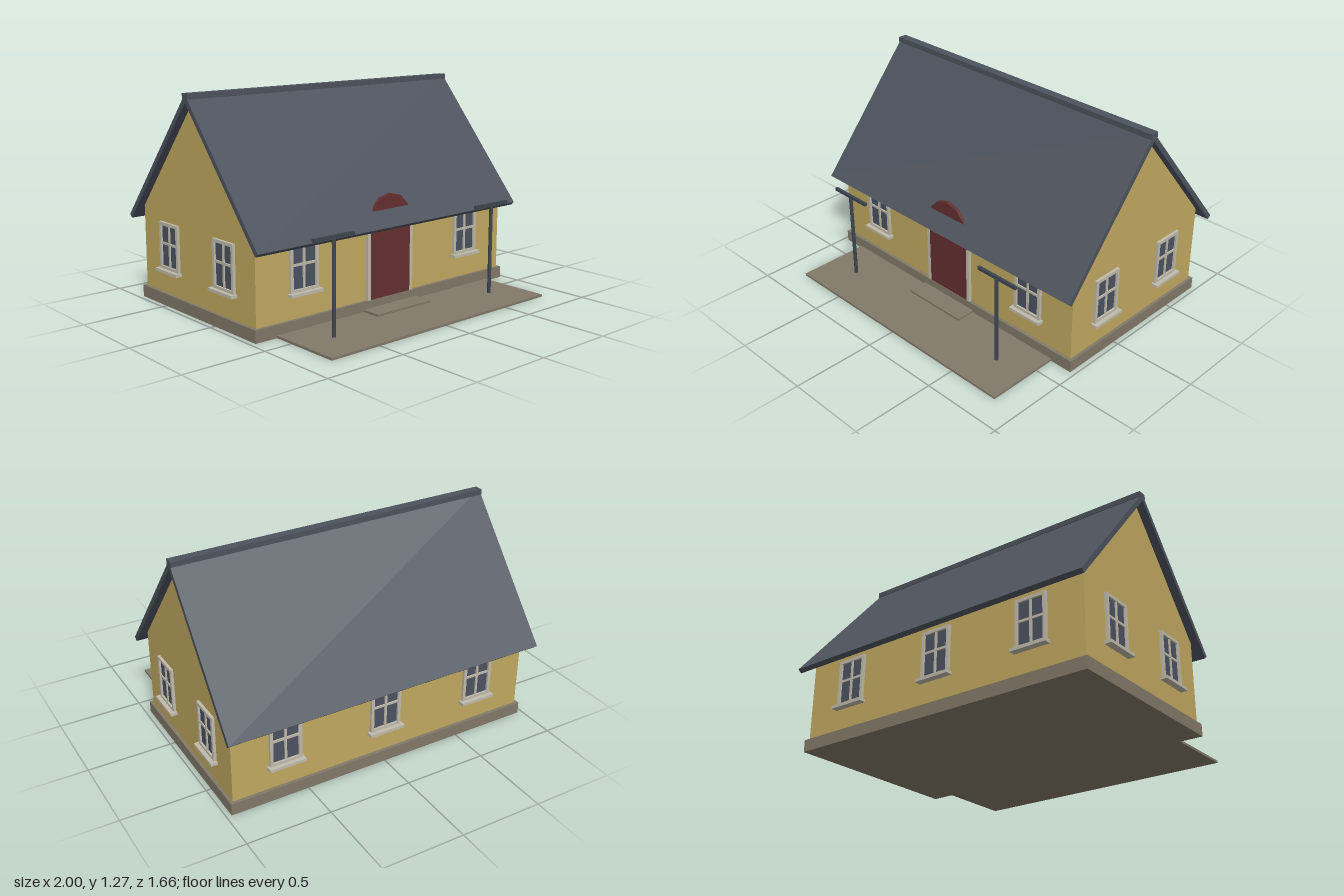
import * as THREE from 'three';

const mat = (name, color, extra) =>
  Object.assign(new THREE.MeshStandardMaterial({ color }), { name });

export function createModel() {
  const house = new THREE.Group();
  house.name = 'house';

  const plaster = mat('yellow plaster', 0xc2a961);
  const slate = mat('slate roof', 0x4d535d);
  const stone = mat('stone', 0x827969);
  const trim = mat('pale trim', 0xc0bbab);
  const glass = mat('window glass', 0x4c5261);
  const doorRed = mat('door red', 0x652f30);
  const metal = mat('dark metal', 0x3d464f);

  function add(parent, name, geometry, material) {
    const mesh = new THREE.Mesh(geometry, material);
    mesh.name = name;
    parent.add(mesh);
    return mesh;
  }

  // Box given by its limits on each axis
  function box(parent, name, material, [x0, x1], [y0, y1], [z0, z1]) {
    const mesh = add(parent, name, new THREE.BoxGeometry(x1 - x0, y1 - y0, z1 - z0), material);
    mesh.position.set((x0 + x1) / 2, (y0 + y1) / 2, (z0 + z1) / 2);
    return mesh;
  }

  // Extrude a [z, y] outline along x, centred on x = 0
  function alongX(name, outline, width, material) {
    const shape = new THREE.Shape(outline.map(([z, y]) => new THREE.Vector2(-z, y)));
    const geometry = new THREE.ExtrudeGeometry(shape, { depth: width, bevelEnabled: false });
    geometry.translate(0, 0, -width / 2).rotateY(Math.PI / 2);
    return add(house, name, geometry, material);
  }

  const ridgeZ = -0.19;

  // Base, terrace and step
  box(house, 'plinth', stone, [-0.97, 0.97], [0, 0.072], [-0.76, 0.38]);
  box(house, 'terrace', stone, [-0.83, 0.83], [0, 0.014], [0.38, 0.83]);
  box(house, 'doorStep', stone, [-0.21, 0.21], [0.014, 0.027], [0.38, 0.5]);

  // Walls with both gables
  alongX('walls', [
    [0.36, 0.072], [0.36, 0.562], [ridgeZ, 1.217], [-0.74, 0.562], [-0.74, 0.072],
  ], 1.904, plaster);

  // Roof slabs joined at the ridge, and the ridge cap
  alongX('roof', [
    [0.43, 0.481], [0.452, 0.5], [ridgeZ, 1.265], [-0.832, 0.5], [-0.81, 0.481], [ridgeZ, 1.22],
  ], 2, slate);
  box(house, 'ridgeCap', slate, [-1, 1], [1.238, 1.27], [ridgeZ - 0.027, ridgeZ + 0.027]);

  // Door with a round head that breaks through the roof
  const doorShape = new THREE.Shape();
  doorShape.moveTo(-0.155, 0.072);
  doorShape.lineTo(0.155, 0.072);
  for (let i = 0; i <= 6; i++) {
    const a = (i / 6) * Math.PI;
    doorShape.lineTo(0.155 * Math.cos(a), 0.522 + 0.155 * Math.sin(a));
  }
  const door = add(house, 'door',
    new THREE.ExtrudeGeometry(doorShape, { depth: 0.022, bevelEnabled: false }), doorRed);
  door.position.z = 0.355;
  for (const s of [-1, 1]) {
    const x = s * 0.166;
    box(house, 'doorJamb', trim, [x - 0.011, x + 0.011], [0.072, 0.54], [0.355, 0.379]);
  }

  // Window facing +z, origin on the wall at floor level
  function makeWindow(x, z, turn) {
    const w = new THREE.Group();
    w.name = 'window';
    const frame = new THREE.Shape([
      [-0.097, 0.22], [0.097, 0.22], [0.097, 0.499], [-0.097, 0.499],
    ].map((p) => new THREE.Vector2(...p)));
    frame.holes.push(new THREE.Path([
      [-0.078, 0.238], [-0.078, 0.48], [0.078, 0.48], [0.078, 0.238],
    ].map((p) => new THREE.Vector2(...p))));
    add(w, 'windowFrame',
      new THREE.ExtrudeGeometry(frame, { depth: 0.017, bevelEnabled: false }), trim);
    box(w, 'windowPane', glass, [-0.078, 0.078], [0.238, 0.48], [-0.002, 0.005]);
    box(w, 'windowMullion', trim, [-0.007, 0.007], [0.238, 0.48], [0.004, 0.012]);
    box(w, 'windowCrossbar', trim, [-0.078, 0.078], [0.366, 0.38], [0.004, 0.012]);
    box(w, 'windowSill', trim, [-0.111, 0.111], [0.204, 0.222], [-0.002, 0.041]);
    w.position.set(x, 0, z);
    w.rotation.y = turn;
    house.add(w);
  }
  for (const x of [-0.633, 0.633]) makeWindow(x, 0.36, 0);
  for (const x of [-0.633, 0, 0.633]) makeWindow(x, -0.74, Math.PI);
  for (const s of [-1, 1]) {
    for (const z of [0.086, -0.461]) makeWindow(s * 0.952, z, s * Math.PI / 2);
  }

  // Two T-shaped posts on the terrace
  for (const s of [-1, 1]) {
    const x = s * 0.616;
    const post = add(house, 'post', new THREE.CylinderGeometry(0.011, 0.011, 0.55, 12), metal);
    post.position.set(x, 0.28, 0.596);
    box(house, 'postCrossbar', metal, [x - 0.14, x + 0.14], [0.55, 0.569], [0.585, 0.602]);
  }

  return house;
}
